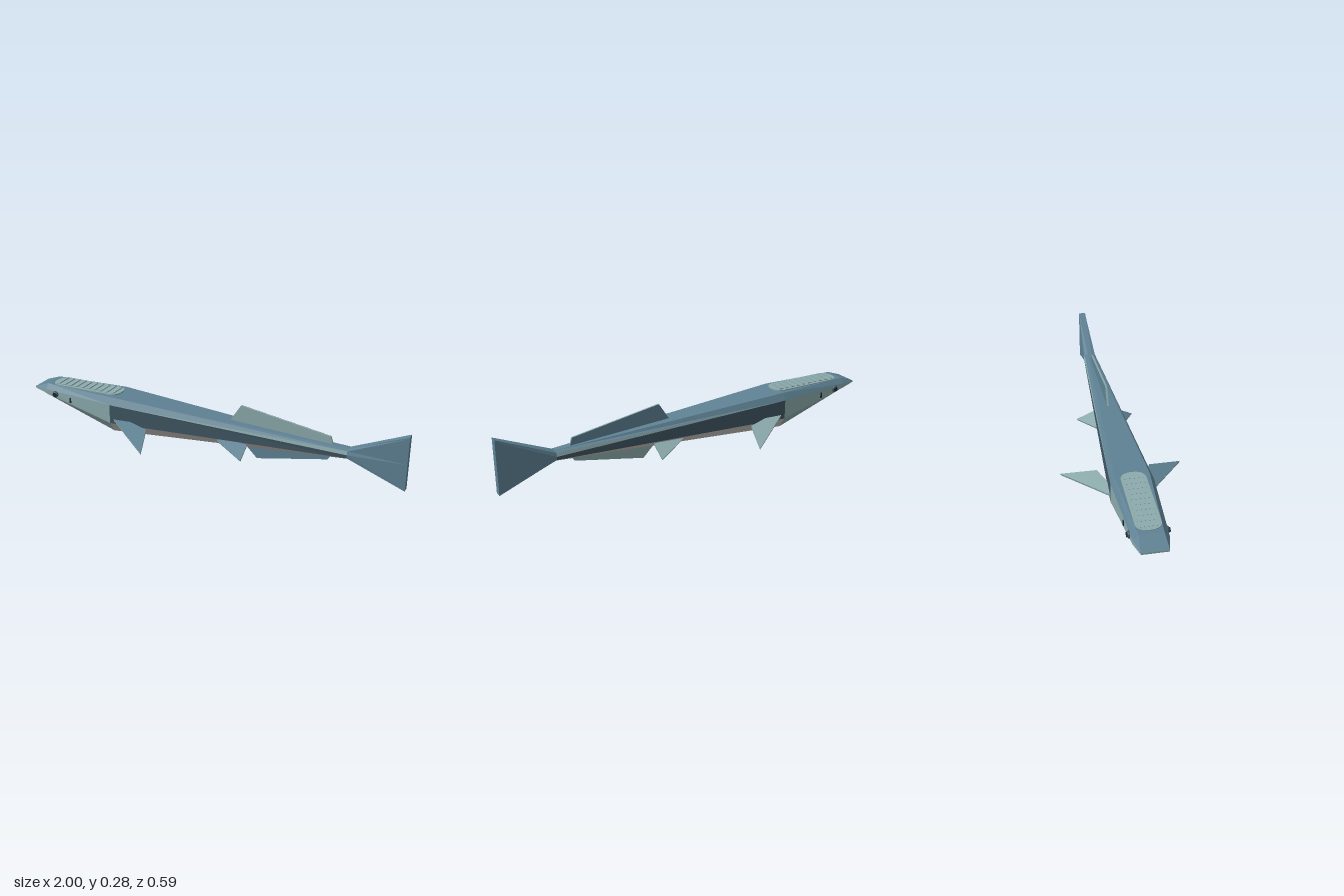
import * as THREE from 'three';

const mat = (name, color, side = THREE.FrontSide) => {
  const m = new THREE.MeshStandardMaterial({ color, flatShading: true, side });
  m.name = name;
  return m;
};

export function createModel() {
  const root = new THREE.Group();
  const M = {
    back: mat('slateBlue', 0x5f8294),
    pale: mat('paleTeal', 0x8ba9ab),
    stripe: mat('darkStripe', 0x3f5663),
    belly: mat('lightGrey', 0xc2bdb8),
    dark: mat('eyeDark', 0x1c262b),
    finBack: mat('finBlue', 0x5f8294, THREE.DoubleSide),
  };
  const add = (name, geo, m, parent = root) => {
    const mesh = new THREE.Mesh(geo, m);
    mesh.name = name;
    parent.add(mesh);
    return mesh;
  };

  // Body stations: x, then half outline as [z, y] from top to bottom
  const stations = [
    [-1, [[.06, .2], [.06, .198], [.06, .197], [.06, .195], [.06, .192]]],
    [-.92, [[.055, .228], [.078, .202], [.078, .2], [.077, .178], [.06, .167]]],
    [-.52, [[.08, .226], [.1, .191], [.1, .19], [.1, .09], [.06, .032]]],
    [.72, [[.011, .158], [.029, .153], [.034, .135], [.032, .118], [.014, .108]]],
    [1, [[.018, .275], [.018, .268], [.018, .137], [.018, .006], [.018, 0]]],
  ].map(([x, half]) => [
    ...half.map(([z, y]) => [x, y, z]),
    ...[...half].reverse().map(([z, y]) => [x, y, -z]),
  ]);

  // Colour of each strip, top edge to underside, for each body section
  const sections = [
    ['snout', ['back', 'pale', 'pale', 'pale', 'belly', 'back']],
    ['head', ['back', 'pale', 'pale', 'pale', 'belly', 'back']],
    ['trunk', ['back', 'pale', 'stripe', 'belly', 'belly', 'back']],
    ['tailFin', ['back', 'back', 'back', 'back', 'back', 'back']],
  ];
  sections.forEach(([name, strips], s) => {
    const a = stations[s], b = stations[s + 1], parts = {};
    for (let i = 0; i < 10; i++) {
      const j = (i + 1) % 10;
      const key = strips[i <= 4 ? i : i === 9 ? 5 : 8 - i];
      (parts[key] ??= []).push(a[i], a[j], b[j], a[i], b[j], b[i]);
    }
    // End caps at the snout and the tail
    for (let i = 1; i < 9; i++) {
      if (s === 0) parts.pale.push(a[0], a[i + 1], a[i]);
      if (s === 3) parts.back.push(b[0], b[i], b[i + 1]);
    }
    for (const [key, pts] of Object.entries(parts)) {
      const geo = new THREE.BufferGeometry();
      geo.setAttribute('position', new THREE.Float32BufferAttribute(pts.flat(), 3));
      geo.computeVertexNormals();
      add(`${name}_${key}`, geo, M[key]);
    }
  });

  // Fins: one flat blade, pale on one face and blue on the other, turned about x
  const T = .009;
  const fin = (name, pts, y, angle) => {
    const g = new THREE.Group();
    g.name = name;
    const shape = new THREE.Shape(pts.map(p => new THREE.Vector2(...p)));
    const blade = new THREE.ExtrudeGeometry(shape, { depth: T, bevelEnabled: false });
    add('blade', blade.translate(0, 0, -T / 2), M.pale, g);
    add('blueFace', new THREE.ShapeGeometry(shape).translate(0, 0, -T / 2 - .001), M.finBack, g);
    g.position.y = y;
    g.rotation.x = THREE.MathUtils.degToRad(angle);
    root.add(g);
  };
  fin('dorsalFin', [[.1, .15], [.115, .19], [.17, .275], [.63, .2], [.645, .15]], 0, 0);
  fin('analFin', [[.17, -.1], [.2, -.07], [.26, -.01], [.62, -.08], [.645, -.115]], 0, 180);
  for (const s of [-1, 1]) {
    const side = s > 0 ? 'front' : 'rear';
    fin(side + 'PectoralFin', [[-.48, .09], [-.5, .1], [-.235, .302], [-.295, .129], [-.42, .09]], .135, s * 105);
    fin(side + 'PelvicFin', [[.08, .05], [.07, .07], [.23, .161], [.225, .06]], .121, s * 116);
  }

  // Sucker disc: rounded pad with tilted ridges on top of the head
  const pad = new THREE.Shape();
  pad.moveTo(-.86, -.058);
  pad.lineTo(-.54, -.058);
  pad.quadraticCurveTo(-.5, -.05, -.5, 0);
  pad.quadraticCurveTo(-.5, .05, -.54, .058);
  pad.lineTo(-.86, .058);
  pad.quadraticCurveTo(-.9, .05, -.9, 0);
  pad.quadraticCurveTo(-.9, -.05, -.86, -.058);
  const disc = new THREE.ExtrudeGeometry(pad, { depth: .016, bevelEnabled: false, curveSegments: 5 });
  add('suckerDisc', disc.rotateX(-Math.PI / 2).translate(0, .215, 0), M.pale);
  for (let i = 0; i < 10; i++) {
    const ridge = add('discRidge', new THREE.BoxGeometry(.024, .005, .09), M.pale);
    ridge.position.set(-.865 + i * .0365, .232, 0);
    ridge.rotation.z = .22;
  }

  // Eyes with pupils, and gill slits
  for (const s of [-1, 1]) {
    const eye = add('eye', new THREE.SphereGeometry(.018, 8, 6), M.stripe);
    eye.scale.z = .6;
    eye.position.set(-.86, .185, s * .082);
    const pupil = add('pupil', new THREE.CylinderGeometry(.011, .011, .008, 8), M.dark);
    pupil.rotation.x = Math.PI / 2;
    pupil.position.set(-.86, .185, s * .09);
    const slit = add('gillSlit', new THREE.BoxGeometry(.009, .028, .008), M.dark);
    slit.position.set(-.765, .168, s * .086);
  }

  // Throat grooves: thin dark strips along the sloping underside of the head
  for (const z of [-.03, 0, .03]) {
    const groove = add('throatGroove', new THREE.BoxGeometry(.34, .004, .007), M.stripe);
    groove.position.set(-.72, .0995, z);
    groove.rotation.z = -Math.atan2(.135, .4);
  }
  return root;
}
